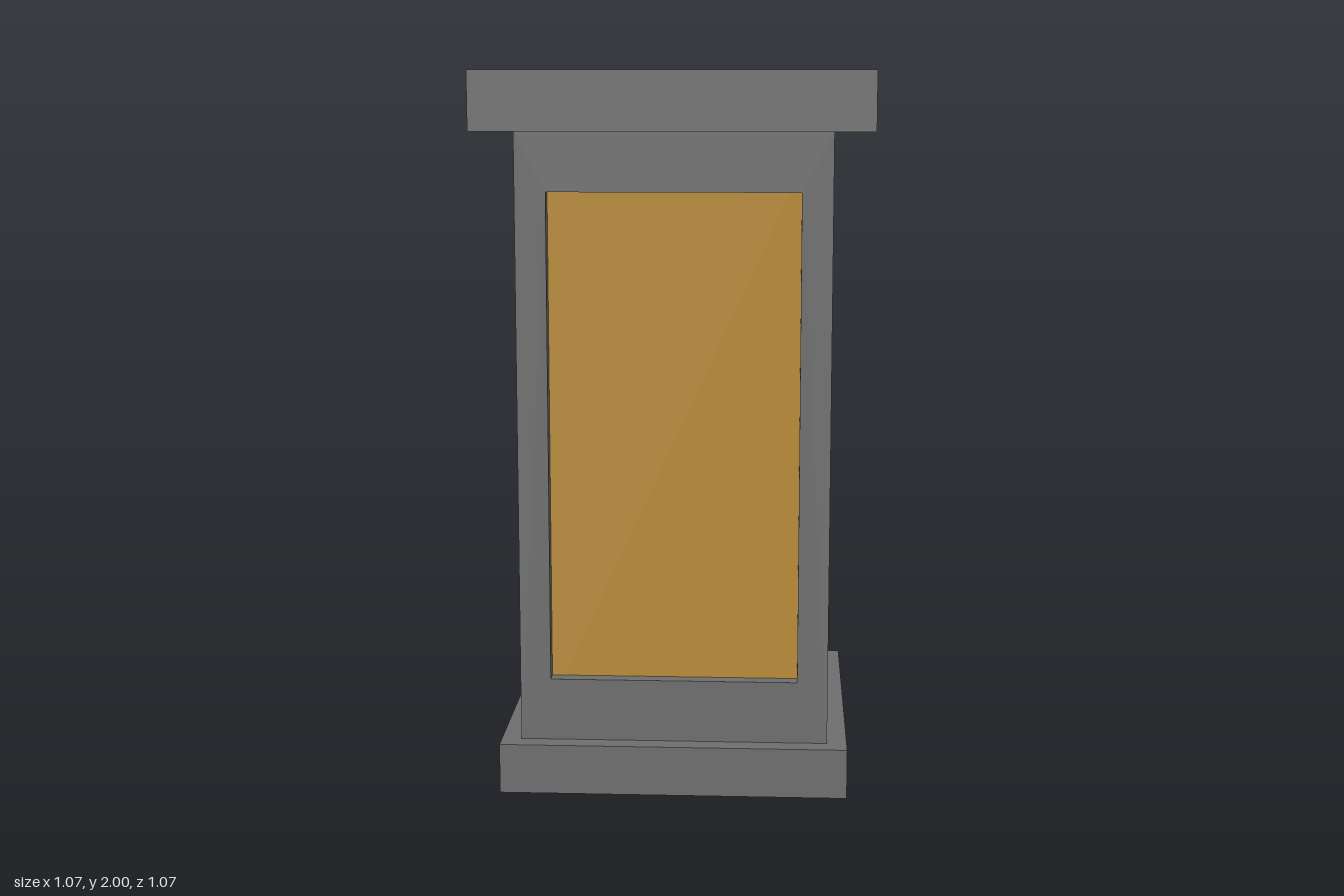
import * as THREE from 'three';

const HALF = 0.43;     // half width of the body
const RECESS = 0.04;   // how far the panes sit behind the frame
const BOTTOM = 0.14, TOP = 1.84;

// Rectangle outline from (-hw, y0) to (hw, y1)
function rect(PathType, hw, y0, y1) {
  return new PathType([
    new THREE.Vector2(-hw, y0), new THREE.Vector2(hw, y0),
    new THREE.Vector2(hw, y1), new THREE.Vector2(-hw, y1),
  ]);
}

// One side of the body: a panel with a window opening, mitred at the corners
function framePanelGeometry() {
  const shape = rect(THREE.Shape, HALF, BOTTOM, TOP);
  shape.holes.push(rect(THREE.Path, 0.345, 0.315, 1.675));
  const geo = new THREE.ExtrudeGeometry(shape, { depth: RECESS, bevelEnabled: false });
  const pos = geo.attributes.position;
  for (let i = 0; i < pos.count; i++) {
    const x = pos.getX(i);
    if (Math.abs(x) > HALF - 0.01 && pos.getZ(i) < RECESS / 2) {
      pos.setX(i, Math.sign(x) * (HALF - RECESS));
    }
  }
  geo.translate(0, 0, HALF - RECESS);
  geo.computeVertexNormals();
  return geo;
}

export function createModel() {
  const model = new THREE.Group();
  model.name = 'lantern';
  const stone = new THREE.MeshStandardMaterial({ color: 0x6e6e6e });
  const amber = new THREE.MeshStandardMaterial({ color: 0xb88a36 });

  const slab = (name, hw, y0, y1, material) => {
    const mesh = new THREE.Mesh(new THREE.BoxGeometry(hw * 2, y1 - y0, hw * 2), material);
    mesh.position.y = (y0 + y1) / 2;
    mesh.name = name;
    model.add(mesh);
  };

  // Plinth, cap and the glowing core seen through the windows
  slab('base', 0.485, 0, BOTTOM, stone);
  slab('cap', 0.537, TOP, 2, stone);
  slab('glassCore', HALF - RECESS, BOTTOM, TOP, amber);

  // Window frames on all four sides
  const panel = framePanelGeometry();
  ['frontFrame', 'leftFrame', 'backFrame', 'rightFrame'].forEach((name, i) => {
    const frame = new THREE.Mesh(panel, stone);
    frame.rotation.y = i * Math.PI / 2;
    frame.name = name;
    model.add(frame);
  });

  return model;
}
